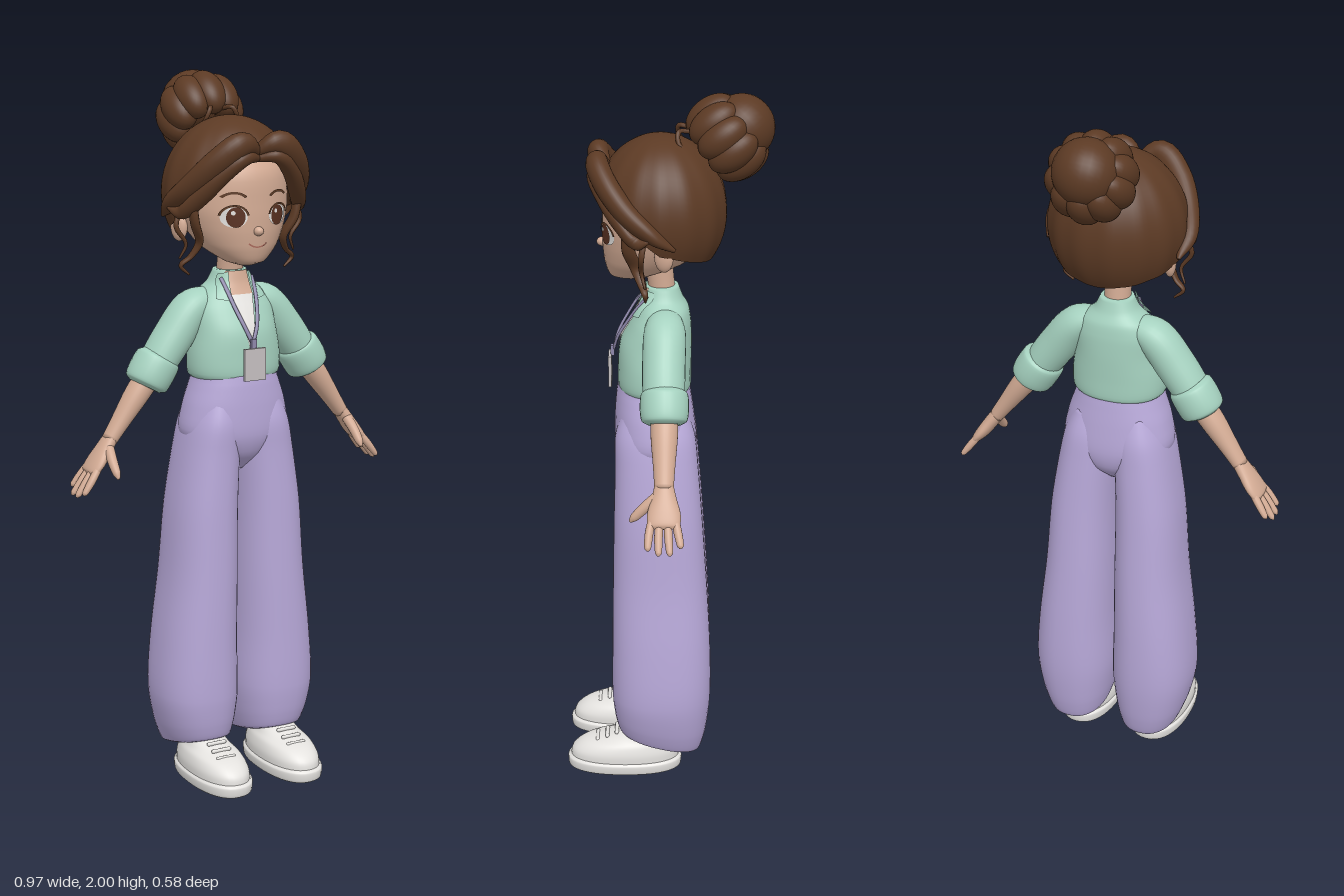
import * as THREE from 'three';
import { mergeVertices } from 'three/addons/utils/BufferGeometryUtils.js';

const V = (x, y, z) => new THREE.Vector3(x, y, z);
const mat = (name, color, side = THREE.FrontSide) => {
  const m = new THREE.MeshStandardMaterial({ color, side });
  m.name = name;
  return m;
};

// Smooth body through sections [x, y, z, radius near z, radius across];
// flat keeps every section horizontal, power above 2 squares it off.
function loft(sections, { flat = false, power = 2, n = 28, sub = 5 } = {}) {
  const path = new THREE.CatmullRomCurve3(sections.map(s => V(s[0], s[1], s[2])));
  const radii = new THREE.CatmullRomCurve3(sections.map((s, i) => V(s[3], s[4], i * 0.05)));
  const steps = (sections.length - 1) * sub, pos = [], idx = [];
  const pw = c => Math.sign(c) * Math.abs(c) ** (2 / power);
  for (let i = 0; i <= steps; i++) {
    const c = path.getPoint(i / steps), r = radii.getPoint(i / steps);
    const dir = flat ? V(0, 1, 0) : path.getTangent(i / steps);
    const u = V(0, 0, 1).addScaledVector(dir, -dir.z).normalize();
    const v = dir.clone().cross(u);
    for (let j = 0; j < n; j++) {
      const a = j / n * Math.PI * 2;
      const p = c.clone().addScaledVector(u, pw(Math.cos(a)) * r.x).addScaledVector(v, pw(Math.sin(a)) * r.y);
      pos.push(p.x, p.y, p.z);
      if (i < steps) {
        const A = i * n + j, B = i * n + (j + 1) % n;
        idx.push(A, B, A + n, B, B + n, A + n);
      }
    }
  }
  // end caps
  const first = sections[0], last = sections[sections.length - 1], k = (steps + 1) * n;
  pos.push(first[0], first[1], first[2], last[0], last[1], last[2]);
  for (let j = 0; j < n; j++) {
    const e = (j + 1) % n;
    idx.push(k, e, j, k + 1, steps * n + j, steps * n + e);
  }
  const g = new THREE.BufferGeometry();
  g.setAttribute('position', new THREE.Float32BufferAttribute(pos, 3));
  g.setIndex(idx);
  g.computeVertexNormals();
  return g;
}

// Lays a flat geometry on the front of a mesh
const ray = new THREE.Raycaster();
function frontZ(target, x, y) {
  ray.set(V(x, y, 2), V(0, 0, -1));
  const hit = ray.intersectObject(target)[0];
  return hit ? hit.point.z : 0.05;
}
function drape(geo, target, lift) {
  const p = geo.attributes.position;
  for (let i = 0; i < p.count; i++) p.setZ(i, frontZ(target, p.getX(i), p.getY(i)) + lift);
  geo.computeVertexNormals();
  return geo;
}
// Grid patch between four corners: top left, top right, bottom left, bottom right
function patch(tl, tr, bl, br) {
  const g = new THREE.PlaneGeometry(1, 1, 10, 12), p = g.attributes.position;
  for (let i = 0; i < p.count; i++) {
    const u = p.getX(i) + 0.5, v = 0.5 - p.getY(i);
    const mix = k => (tl[k] * (1 - u) + tr[k] * u) * (1 - v) + (bl[k] * (1 - u) + br[k] * u) * v;
    p.setXY(i, mix(0), mix(1));
  }
  return g;
}

// Hair cap whose lower edge follows the hairline from forehead to nape
function hairCap() {
  const line = [1.79, 1.765, 1.67, 1.6, 1.575, 1.555, 1.545];
  const g = new THREE.SphereGeometry(1, 84, 24, 0, Math.PI * 2, 0, 2), p = g.attributes.position;
  for (let i = 0; i < p.count; i++) {
    const u = (i % 85) / 84, phi = u * Math.PI * 2;
    const d = Math.acos(Math.max(-1, Math.min(1, Math.sin(phi)))) / Math.PI * 6;
    const k = Math.min(5, Math.floor(d)), y = line[k] + (line[k + 1] - line[k]) * (d - k);
    const t = Math.floor(i / 85) / 24 * Math.acos((y - 1.68) / 0.21);
    const r = Math.sin(t) * (1 + 0.01 * Math.cos(phi * 14) * Math.sin(t));
    p.setXYZ(i, -0.192 * Math.cos(phi) * r, 1.68 + 0.21 * Math.cos(t), 0.02 + 0.182 * Math.sin(phi) * r);
  }
  g.deleteAttribute('uv');
  g.deleteAttribute('normal');
  const m = mergeVertices(g, 1e-5);
  m.computeVertexNormals();
  return m;
}

export function createModel() {
  const root = new THREE.Group();
  const D = THREE.DoubleSide;
  const skin = mat('skin', 0xd3ab94), hair = mat('hair', 0x5c3a24, D), mint = mat('mint', 0xa5d1bf, D);
  const lilac = mat('lilac', 0xb7a8d8), white = mat('white', 0xe4e2df, D), grey = mat('badge grey', 0xc4bfc0);
  const cord = mat('cord violet', 0x8f88ab), brown = mat('eye brown', 0x5a3222), lip = mat('lip', 0xb06f60);
  const add = (name, geo, m, parent = root) => {
    const o = new THREE.Mesh(geo, m);
    o.name = name;
    parent.add(o);
    return o;
  };
  const ball = (name, m, x, y, z, a, b, c, parent) => {
    const o = add(name, new THREE.SphereGeometry(1, 28, 20), m, parent);
    o.position.set(x, y, z);
    o.scale.set(a, b, c);
    return o;
  };
  const flat = { flat: true, n: 40 };

  // Head and neck
  add('neck', loft([[0, 1.36, 0.01, 0.045, 0.045], [0, 1.44, 0.015, 0.037, 0.037], [0, 1.56, 0.03, 0.04, 0.04]], flat), skin);
  const head = add('head', loft([[0, 1.487, 0.11, 0.02, 0.02], [0, 1.498, 0.1, 0.06, 0.055], [0, 1.54, 0.06, 0.115, 0.108],
    [0, 1.59, 0.038, 0.142, 0.138], [0, 1.65, 0.03, 0.15, 0.154], [0, 1.74, 0.025, 0.148, 0.148],
    [0, 1.81, 0.02, 0.1, 0.11], [0, 1.84, 0.02, 0.03, 0.03]], flat), skin);
  ball('nose', skin, 0, 1.588, 0.18, 0.014, 0.013, 0.016);
  const onFace = (name, geo, m, x, y, sx, sy, lift, rot = 0) =>
    add(name, drape(geo.rotateZ(rot).scale(sx, sy, 1).translate(x, y, 0), head, lift), m);
  const arc = (w, from, len) => new THREE.RingGeometry(1 - w, 1, 20, 1, from, len);
  onFace('mouth', arc(0.14, Math.PI * 1.2, Math.PI * 0.6), lip, 0, 1.57, 0.036, 0.028, 0.003);

  // Torso
  const shirt = add('shirt', loft([[0, 1.155, 0.035, 0.085, 0.1], [0, 1.175, 0.037, 0.102, 0.132], [0, 1.23, 0.037, 0.103, 0.135],
    [0, 1.3, 0.033, 0.1, 0.125], [0, 1.36, 0.02, 0.085, 0.12], [0, 1.4, 0.012, 0.07, 0.1],
    [0, 1.43, 0.013, 0.055, 0.064], [0, 1.465, 0.015, 0.044, 0.046]], { ...flat, power: 2.2 }), mint);
  add('undershirt', drape(patch([-0.036, 1.4], [0.036, 1.4], [-0.003, 1.25], [0.003, 1.25]), shirt, 0.004), white);
  add('neckline', drape(patch([-0.034, 1.463], [0.034, 1.463], [-0.037, 1.4], [0.037, 1.4]), shirt, 0.004), skin);
  const badge = add('badge', new THREE.BoxGeometry(0.066, 0.09, 0.009), grey);
  badge.position.set(0, 1.215, 0.162);
  add('badgeClip', new THREE.BoxGeometry(0.016, 0.03, 0.01), cord).position.set(0, 1.27, 0.155);

  // Trouser seat
  add('trouserSeat', loft([[0, 0.9, 0.03, 0.05, 0.02], [0, 0.95, 0.03, 0.1, 0.1], [0, 1.01, 0.034, 0.116, 0.16],
    [0, 1.09, 0.038, 0.112, 0.15], [0, 1.15, 0.04, 0.105, 0.13], [0, 1.18, 0.04, 0.1, 0.12]], { ...flat, power: 2.2 }), lilac);

  // Hair
  add('hairCap', hairCap(), hair);
  const bun = new THREE.Group();
  bun.name = 'bun';
  bun.position.set(0, 1.88, -0.16);
  bun.quaternion.setFromUnitVectors(V(0, 0, 1), V(0, 0.6, -0.8));
  root.add(bun);
  for (let i = 0; i < 10; i++) {
    const a = (i + 0.5) / 10 * Math.PI * 2;
    ball('bunLobe', hair, Math.cos(a) * 0.077, Math.sin(a) * 0.077, 0, 0.048, 0.048, 0.075, bun);
  }
  ball('bunKnot', hair, 0, 0, 0.05, 0.09, 0.09, 0.088, bun);

  for (const s of [1, -1]) {
    const side = s > 0 ? 'left' : 'right';
    const part = (name, sections, m, opt) =>
      add(side + name, loft(sections.map(([x, ...r]) => [x * s, ...r]), opt), m);

    // Face details
    const ear = ball(side + 'Ear', skin, s * 0.155, 1.59, 0.01, 0.017, 0.04, 0.027);
    ear.rotation.y = s * -0.4;
    onFace(side + 'EyeWhite', new THREE.CircleGeometry(1, 24), white, s * 0.067, 1.628, 0.034, 0.028, 0.003);
    onFace(side + 'Iris', new THREE.CircleGeometry(1, 24), brown, s * 0.064, 1.628, 0.024, 0.028, 0.005);
    onFace(side + 'EyeGlint', new THREE.CircleGeometry(1, 12), white, s * 0.064 - 0.008, 1.64, 0.006, 0.006, 0.007);
    onFace(side + 'Lashes', arc(0.16, 0.15, Math.PI - 0.3), hair, s * 0.068, 1.628, 0.039, 0.034, 0.006);
    onFace(side + 'Brow', arc(0.2, Math.PI * 0.2, Math.PI * 0.6), hair, s * 0.068, 1.665, 0.042, 0.032, 0.004);

    // Swept fringe and loose curls
    part('FringeUpper', [[-0.005, 1.8, 0.165, 0.015, 0.012], [0.055, 1.825, 0.19, 0.03, 0.035], [0.115, 1.78, 0.165, 0.032, 0.038],
      [0.165, 1.71, 0.105, 0.03, 0.036], [0.19, 1.66, 0.04, 0.022, 0.03], [0.19, 1.62, -0.02, 0.005, 0.005]], hair);
    part('FringeLower', [[0, 1.785, 0.175, 0.01, 0.01], [0.05, 1.79, 0.198, 0.02, 0.02], [0.105, 1.745, 0.172, 0.022, 0.024],
      [0.15, 1.685, 0.13, 0.02, 0.026], [0.185, 1.64, 0.085, 0.015, 0.02], [0.21, 1.65, 0.05, 0.004, 0.004]], hair);
    part('Curl', [[0.165, 1.67, 0.11, 0.012, 0.012], [0.155, 1.61, 0.105, 0.018, 0.012], [0.132, 1.555, 0.085, 0.017, 0.009],
      [0.15, 1.515, 0.07, 0.012, 0.007], [0.176, 1.49, 0.06, 0.008, 0.006], [0.15, 1.463, 0.06, 0.003, 0.003]], hair, { n: 12 });
    part('Wisp', [[0.17, 1.66, 0.06, 0.008, 0.008], [0.195, 1.6, 0.07, 0.008, 0.007], [0.165, 1.55, 0.07, 0.006, 0.005],
      [0.18, 1.51, 0.06, 0.003, 0.003]], hair, { n: 10 });
    part('BunStrand', [[0.02, 1.9, -0.07, 0.006, 0.006], [0.035, 1.905, -0.03, 0.007, 0.007],
      [0.05, 1.875, -0.03, 0.006, 0.006], [0.06, 1.84, -0.07, 0.004, 0.004]], hair, { n: 8 });

    // Collar and lanyard
    const collar = [[0.03, 1.463], [0.05, 1.455], [0.036, 1.385], [0.078, 1.392]].map(([x, y]) => [x * s, y]);
    const order = s > 0 ? collar : [collar[1], collar[0], collar[3], collar[2]];
    add(side + 'Collar', drape(patch(...order), shirt, 0.014), mint);
    const strap = [[0.048, 1.445], [0.043, 1.41], [0.035, 1.37], [0.02, 1.32], [0.002, 1.275]]
      .map(([x, y]) => [x, y, frontZ(shirt, x * s, y) + 0.014, 0.004, 0.006]);
    part('Lanyard', strap, cord, { n: 10 });

    // Sleeve and rolled cuff
    part('Sleeve', [[0.06, 1.385, 0.008, 0.045, 0.035], [0.115, 1.36, 0.008, 0.058, 0.052], [0.175, 1.285, 0.01, 0.059, 0.056],
      [0.225, 1.215, 0.01, 0.057, 0.052], [0.24, 1.19, 0.01, 0.05, 0.045]], mint);
    part('Cuff', [[0.214, 1.236, 0.008, 0.05, 0.05], [0.221, 1.224, 0.008, 0.064, 0.063], [0.243, 1.19, 0.008, 0.067, 0.065],
      [0.26, 1.161, 0.008, 0.062, 0.061], [0.265, 1.152, 0.008, 0.045, 0.045]], mint);

    // Arm and hand
    part('Forearm', [[0.24, 1.195, 0.008, 0.038, 0.036], [0.29, 1.13, 0.008, 0.037, 0.034], [0.34, 1.06, 0.008, 0.03, 0.026],
      [0.375, 1.01, 0.008, 0.026, 0.021]], skin);
    part('Palm', [[0.365, 1.025, 0.008, 0.024, 0.02], [0.39, 0.99, 0.008, 0.034, 0.02], [0.415, 0.955, 0.008, 0.045, 0.019],
      [0.435, 0.93, 0.008, 0.043, 0.014], [0.44, 0.922, 0.008, 0.03, 0.006]], skin);
    [[-0.034, 0.82], [-0.011, 1], [0.013, 1], [0.036, 0.88]].forEach(([z, len]) =>
      part('Finger', [[0.415, 0.955, 0.008 + z * 0.8, 0.01, 0.01], [0.415 + 0.036 * len, 0.955 - 0.048 * len, 0.008 + z * 1.1, 0.0115, 0.011],
        [0.415 + 0.063 * len, 0.955 - 0.085 * len, 0.006 + z * 1.25, 0.009, 0.008],
        [0.415 + 0.068 * len, 0.955 - 0.092 * len, 0.006 + z * 1.25, 0.003, 0.003]], skin, { n: 12 }));
    part('Thumb', [[0.385, 0.995, 0.025, 0.015, 0.015], [0.39, 0.965, 0.058, 0.015, 0.014],
      [0.391, 0.935, 0.088, 0.012, 0.011], [0.391, 0.922, 0.1, 0.004, 0.004]], skin, { n: 14 });

    // Wide trouser leg, hem raised at the front
    const leg = loft([[0.115, 0.085, 0.022, 0.1, 0.075], [0.116, 0.092, 0.022, 0.118, 0.088], [0.12, 0.15, 0.02, 0.133, 0.106],
      [0.123, 0.25, 0.018, 0.143, 0.12], [0.12, 0.4, 0.018, 0.142, 0.114], [0.108, 0.6, 0.022, 0.135, 0.102],
      [0.1, 0.8, 0.027, 0.126, 0.094], [0.086, 0.95, 0.031, 0.118, 0.085], [0.077, 1.04, 0.035, 0.113, 0.075],
      [0.07, 1.12, 0.037, 0.09, 0.05]].map(([x, ...r]) => [x * s, ...r]), { ...flat, power: 2.3 });
    const p = leg.attributes.position;
    for (let i = 0; i < p.count; i++) {
      const y = p.getY(i);
      if (y < 0.25) p.setY(i, y + p.getZ(i) * 0.25 * (0.25 - y) / 0.16);
    }
    leg.computeVertexNormals();
    add(side + 'TrouserLeg', leg, lilac);

    // Shoe
    part('Sole', [[0.115, 0, 0.127, 0.158, 0.074], [0.115, 0.006, 0.127, 0.166, 0.081], [0.115, 0.03, 0.127, 0.168, 0.084],
      [0.115, 0.038, 0.127, 0.16, 0.078]], white, { ...flat, power: 2.3 });
    part('ShoeUpper', [[0.115, 0.03, 0.127, 0.16, 0.078], [0.115, 0.06, 0.124, 0.156, 0.078], [0.115, 0.085, 0.112, 0.135, 0.071],
      [0.115, 0.102, 0.085, 0.1, 0.06], [0.115, 0.122, 0.062, 0.075, 0.052], [0.115, 0.135, 0.055, 0.055, 0.04]],
      white, { ...flat, power: 2.2 });
    for (let i = 0; i < 3; i++) {
      const lace = add(side + 'Lace', new THREE.CapsuleGeometry(0.006, 0.05, 4, 8).rotateZ(Math.PI / 2), white);
      lace.position.set(s * 0.115, 0.117 - i * 0.012, 0.15 + i * 0.028);
    }
  }
  return root;
}
